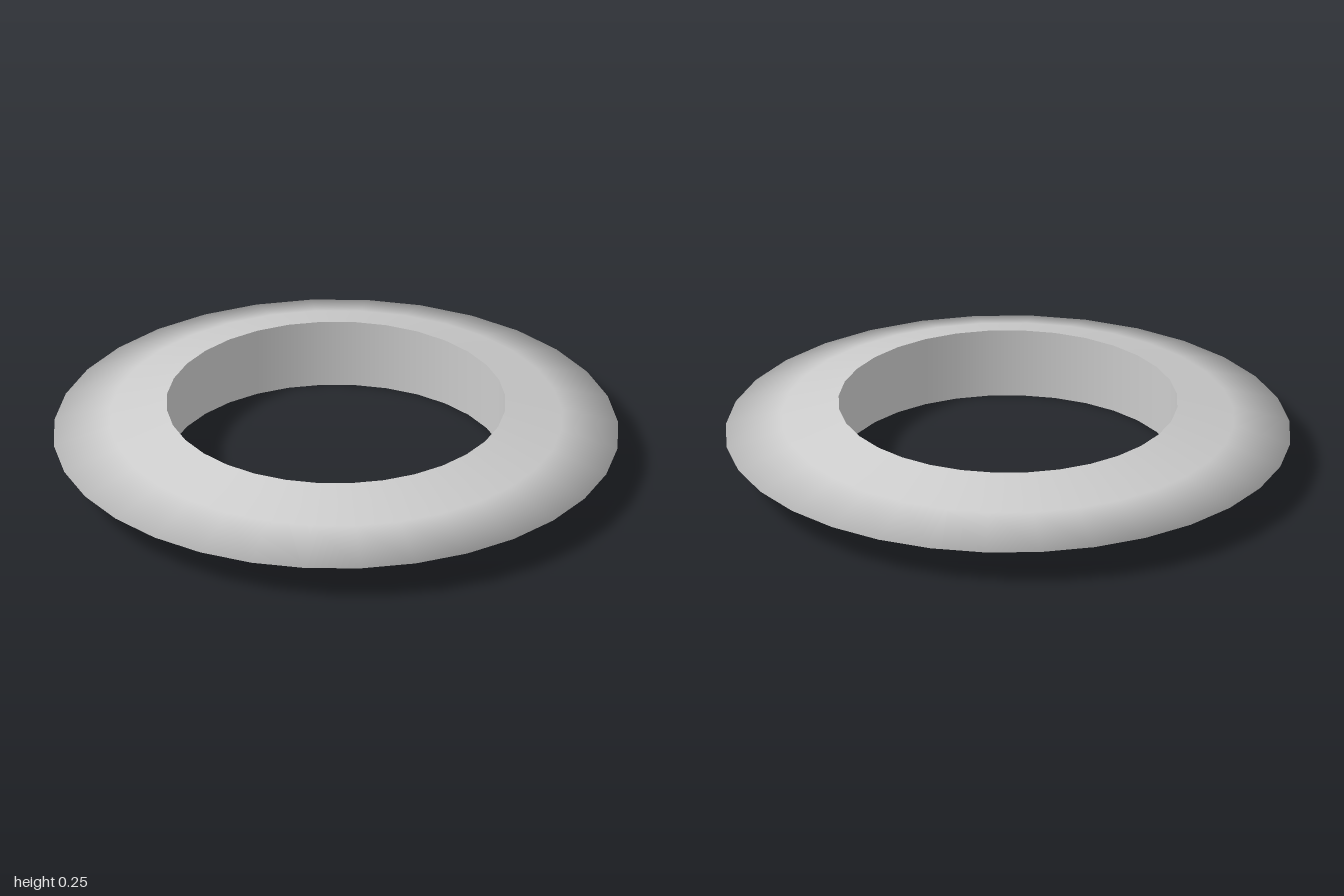
import * as THREE from 'three';

const SEGMENTS = 32;
const INNER = 0.6, MIDDLE = 0.8, OUTER = 1;
const HEIGHT = 0.253;

export function createModel() {
  const group = new THREE.Group();
  group.name = 'ring';
  const material = new THREE.MeshStandardMaterial({ color: 0xcccccc });

  const addLathe = (name, profile) => {
    const points = profile.map(([r, y]) => new THREE.Vector2(r, y));
    const mesh = new THREE.Mesh(new THREE.LatheGeometry(points, SEGMENTS), material);
    mesh.name = name;
    group.add(mesh);
  };

  // Bevelled body: lower slope, rim, upper slope, shaded smoothly across the rim
  addLathe('bevelledRim', [
    [INNER, 0],
    [MIDDLE, HEIGHT * 0.25],
    [OUTER, HEIGHT * 0.5],
    [MIDDLE, HEIGHT * 0.75],
    [INNER, HEIGHT],
  ]);

  // Wall of the hole, running downward so that it faces inward, with sharp edges
  addLathe('innerWall', [
    [INNER, HEIGHT],
    [INNER, 0],
  ]);

  return group;
}
